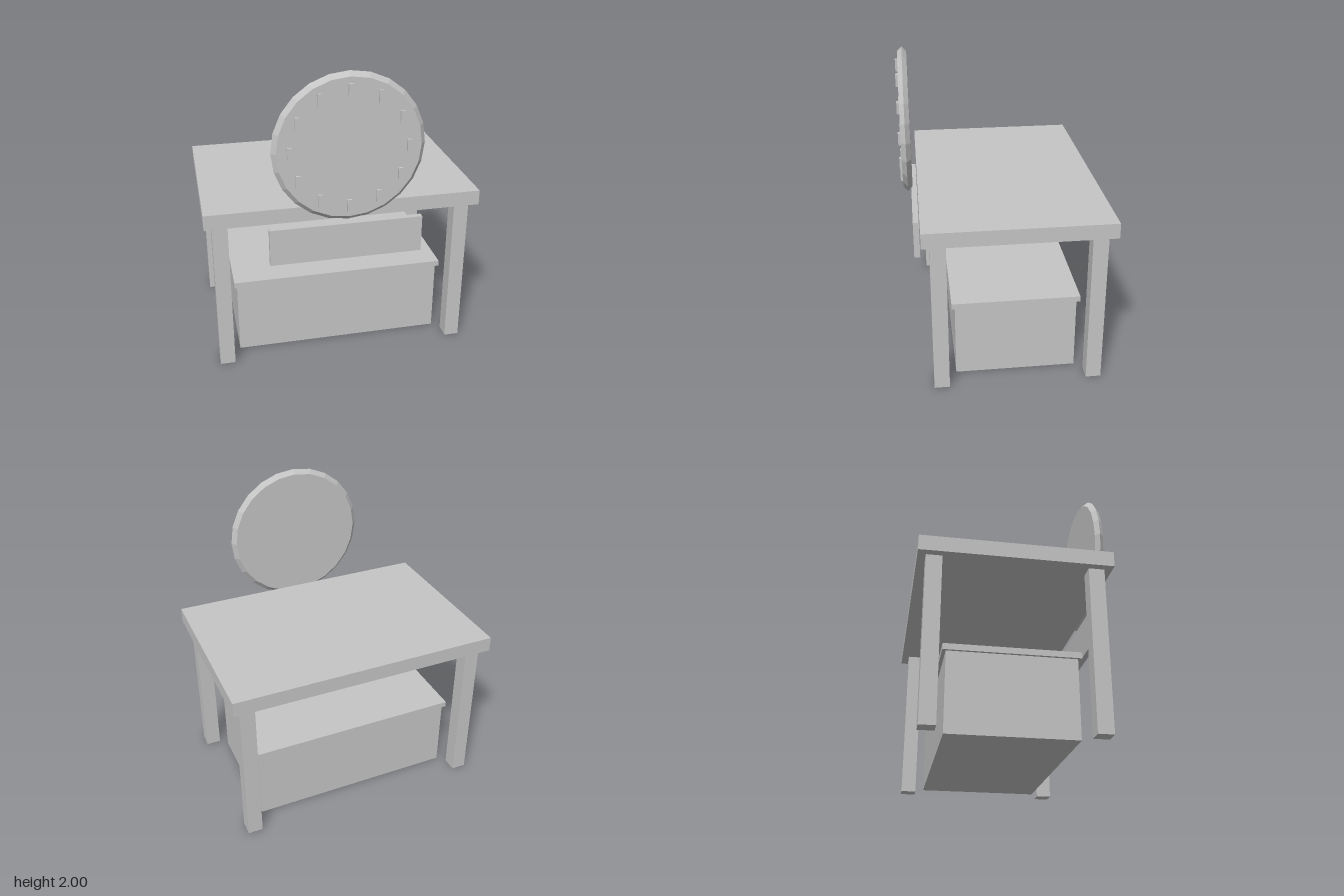
import * as THREE from 'three';

export function createModel() {
  const model = new THREE.Group();
  model.name = 'tableWithClock';
  const grey = new THREE.MeshStandardMaterial({ color: 0xc5c5c5 });
  grey.name = 'light grey';

  const midZ = -0.052; // middle of the table, front to back

  function box(name, w, h, d, x, bottom, z, parent = model) {
    const mesh = new THREE.Mesh(new THREE.BoxGeometry(w, h, d), grey);
    mesh.name = name;
    mesh.position.set(x, bottom + h / 2, z);
    parent.add(mesh);
    return mesh;
  }

  // Table
  box('tableTop', 1.772, 0.098, 1.18, 0, 1.035, midZ);
  for (const sx of [-1, 1]) {
    for (const sz of [-1, 1]) {
      const name = (sz > 0 ? 'front' : 'back') + (sx > 0 ? 'Left' : 'Right') + 'Leg';
      box(name, 0.098, 1.035, 0.098, sx * 0.787, 0, midZ + sz * 0.492);
    }
  }

  // Chest under the table
  box('chestBody', 1.38, 0.495, 0.785, 0, 0.001, midZ);
  box('chestLid', 1.415, 0.038, 0.827, 0, 0.496, midZ);

  // Board hanging in front of the table
  box('frontBoard', 0.982, 0.245, 0.038, 0, 0.765, 0.56);

  // Clock
  const clock = new THREE.Group();
  clock.name = 'clock';
  clock.position.set(0, 1.528, 0.598);
  model.add(clock);

  // Dial and its pointed rim, in 24 flat sides
  const profile = [[0, -0.029], [0.443, -0.029], [0.472, 0], [0.443, 0.029], [0, 0.029]]
    .map(([r, y]) => new THREE.Vector2(r, y));
  const dialGeometry = new THREE.LatheGeometry(profile, 24).toNonIndexed();
  dialGeometry.computeVertexNormals();
  dialGeometry.rotateX(Math.PI / 2);
  const dial = new THREE.Mesh(dialGeometry, grey);
  dial.name = 'clockDial';
  clock.add(dial);

  // Upright hour marks
  for (let i = 0; i < 12; i++) {
    const a = (i * Math.PI) / 6;
    box('hourMark' + (i || 12), 0.028, 0.078, 0.022,
      0.365 * Math.sin(a), 0.365 * Math.cos(a) - 0.039, 0.034, clock);
  }

  return model;
}
